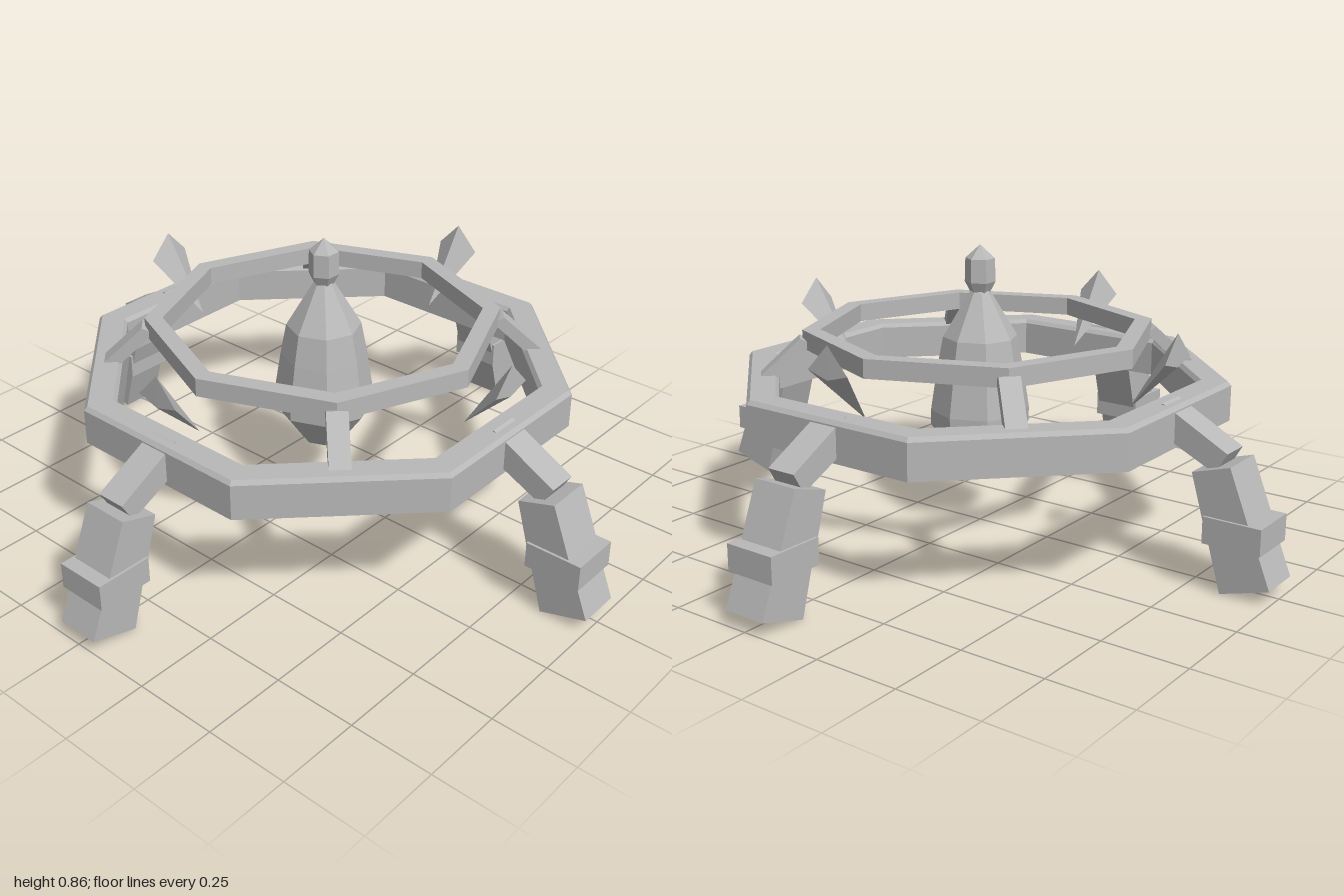
import * as THREE from 'three';

const grey = new THREE.MeshStandardMaterial({ color: 0xb8b8b8, flatShading: true });
grey.name = 'grey';

function part(name, geometry) {
  const mesh = new THREE.Mesh(geometry, grey);
  mesh.name = name;
  return mesh;
}

// Side outline (radius, height) given a thickness centred on z = 0
function slab(name, outline, width) {
  const shape = new THREE.Shape(outline.map(([x, y]) => new THREE.Vector2(x, y)));
  const geometry = new THREE.ExtrudeGeometry(shape, { depth: width, bevelEnabled: false });
  return part(name, geometry.translate(0, 0, -width / 2));
}

// Faceted turned part
function turned(name, profile, sides, start = 0, scale = 1) {
  const points = profile.map(([r, y]) => new THREE.Vector2(r * scale, y));
  return part(name, new THREE.LatheGeometry(points, sides, start));
}

// Four-sided spike with its point low and inward, and its upright end outward
function spike() {
  const tip = [0.52, 0.45, 0];
  const end = [[0.665, 0.685, 0], [0.667, 0.61, 0.07], [0.668, 0.59, 0], [0.667, 0.61, -0.07]];
  const pos = [];
  for (let i = 0; i < 4; i++) pos.push(...tip, ...end[(i + 1) % 4], ...end[i]);
  pos.push(...end[0], ...end[1], ...end[2], ...end[0], ...end[2], ...end[3]);
  const geometry = new THREE.BufferGeometry();
  geometry.setAttribute('position', new THREE.Float32BufferAttribute(pos, 3));
  // Keep every face outward
  const p = geometry.attributes.position;
  const centre = new THREE.Vector3(0.63, 0.59, 0);
  const [a, b, c] = [0, 1, 2].map(() => new THREE.Vector3());
  for (let i = 0; i < p.count; i += 3) {
    [a, b, c].forEach((v, k) => v.fromBufferAttribute(p, i + k));
    const n = b.clone().sub(a).cross(c.clone().sub(a));
    if (n.dot(a.clone().sub(centre)) < 0) {
      p.setXYZ(i + 1, c.x, c.y, c.z);
      p.setXYZ(i + 2, b.x, b.y, b.z);
    }
  }
  geometry.computeVertexNormals();
  return part('spike', geometry);
}

function leg() {
  const g = new THREE.Group();
  g.add(
    slab('arm', [[0.615, 0.425], [0.815, 0.33], [0.85, 0.39], [0.65, 0.497]], 0.09),
    slab('upperLeg', [[0.76, 0.33], [0.805, 0.175], [0.947, 0.175], [0.872, 0.364]], 0.14),
    slab('ankleBand', [[0.802, 0.138], [0.973, 0.138], [0.973, 0.215], [0.802, 0.215]], 0.156),
    slab('foot', [[0.805, 0.175], [0.856, 0], [1.0, 0.043], [0.947, 0.175]], 0.132),
    spike()
  );
  return g;
}

export function createModel() {
  const model = new THREE.Group();
  model.name = 'ringStand';

  // Outer ring has its flats on the axes, so radii are measured to the flats
  model.add(turned('outerRing', [
    [0.69, 0.375], [0.69, 0.48], [0.68, 0.492], [0.61, 0.492],
    [0.6, 0.48], [0.6, 0.375], [0.69, 0.375]
  ], 8, Math.PI / 8, 1 / Math.cos(Math.PI / 8)));

  // Inner ring has its corners on the axes
  model.add(turned('innerRing', [
    [0.527, 0.565], [0.527, 0.62], [0.474, 0.62], [0.474, 0.565], [0.527, 0.565]
  ], 8));

  // Hanging core with its small finial
  model.add(turned('core', [
    [0, 0.2], [0.068, 0.2], [0.15, 0.315], [0.15, 0.36], [0.13, 0.49],
    [0.112, 0.585], [0.025, 0.73], [0, 0.73]
  ], 8));
  model.add(turned('finial', [
    [0, 0.715], [0.028, 0.715], [0.046, 0.75], [0.044, 0.82], [0, 0.86]
  ], 6, Math.PI / 6));

  // Legs on the axes, struts on the diagonals
  for (let i = 0; i < 4; i++) {
    const l = leg();
    l.name = 'leg' + (i + 1);
    l.rotation.y = i * Math.PI / 2;
    const s = slab('strut', [[0.5, 0.585], [0.61, 0.48], [0.665, 0.48], [0.535, 0.6]], 0.06);
    s.rotation.y = (i + 0.5) * Math.PI / 2;
    model.add(l, s);
  }
  return model;
}
